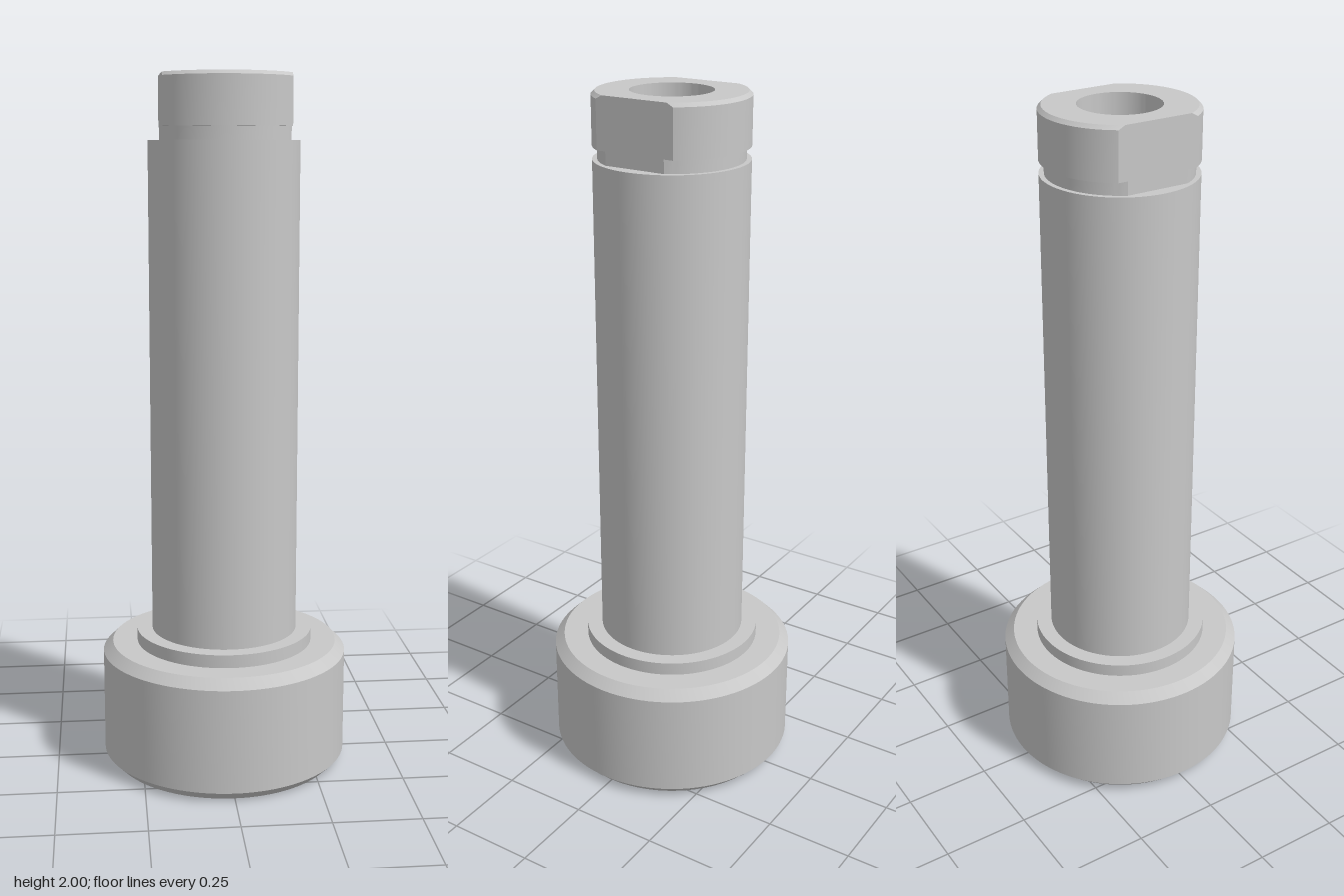
import * as THREE from 'three';
import { toCreasedNormals } from 'three/addons/utils/BufferGeometryUtils.js';

const BORE = 0.113, FLAT = 0.178, SOCKET_TOP = 0.25;
const steel = new THREE.MeshStandardMaterial({ color: 0xc8c8c8 });
steel.name = 'light steel grey';

function part(name, geometry, crease = 0.4) {
  const mesh = new THREE.Mesh(toCreasedNormals(geometry, crease), steel);
  mesh.name = name;
  return mesh;
}

// Turned surface from [radius, height] pairs
function lathe(name, profile) {
  return part(name, new THREE.LatheGeometry(profile.map(p => new THREE.Vector2(...p)), 96));
}

// Skin over closed rings of [x, y, z] points
function loft(rings) {
  const pos = [], n = rings[0].length;
  for (let i = 0; i < rings.length - 1; i++) {
    for (let j = 0; j < n; j++) {
      const k = (j + 1) % n;
      const a = rings[i][j], b = rings[i][k], c = rings[i + 1][j], d = rings[i + 1][k];
      pos.push(...a, ...c, ...b, ...b, ...c, ...d);
    }
  }
  const g = new THREE.BufferGeometry();
  g.setAttribute('position', new THREE.Float32BufferAttribute(pos, 3));
  return g;
}

// Circle cut by two flats at x = +-FLAT
function flattedRing(r, y) {
  const phi = Math.acos(FLAT / r), zc = r * Math.sin(phi), half = [];
  for (let i = 0; i < 40; i++) {
    const t = phi + (Math.PI - 2 * phi) * i / 40;
    half.push([r * Math.cos(t), y, r * Math.sin(t)]);
  }
  for (let i = 0; i < 12; i++) half.push([-FLAT, y, zc * (1 - i / 6)]);
  return [...half, ...half.map(([x, , z]) => [-x, y, -z])];
}

// Hexagonal socket outline with a blunt relief lobe at each corner
function socketOutline() {
  const pts = [];
  for (let k = 0; k < 6; k++) {
    const mid = Math.PI / 6 + k * Math.PI / 3;
    for (const [deg, r] of [[-17, 0.208], [-9, 0.236], [-4, 0.252], [4, 0.252], [9, 0.236], [17, 0.208]]) {
      const t = mid + THREE.MathUtils.degToRad(deg);
      pts.push(new THREE.Vector2(r * Math.cos(t), r * Math.sin(t)));
    }
  }
  return pts;
}

// Flat plate facing down at a given height
function downFace(name, shape, hole, y) {
  shape.holes.push(hole);
  const g = new THREE.ShapeGeometry(shape, 48);
  g.rotateX(Math.PI / 2).translate(0, y, 0);
  return part(name, g);
}

function circle(r) {
  return new THREE.Shape().absarc(0, 0, r, 0, Math.PI * 2, false);
}

export function createModel() {
  const group = new THREE.Group();
  const outline = socketOutline();

  // Chamfered head, collar and shaft
  group.add(lathe('head', [[0.332, 0], [0.36, 0.028], [0.36, 0.332], [0.332, 0.36], [0.25, 0.36]]));
  group.add(lathe('collar', [[0.259, 0.36], [0.259, 0.398], [0.2, 0.398]]));
  group.add(lathe('shaft', [[0.214, 0.398], [0.214, 1.82], [0.15, 1.82]]));

  // Neck groove and flatted tip, closed down to the bore
  const top = flattedRing(0.204, 2);
  const boreRing = top.map(([x, y, z]) => {
    const s = BORE / Math.hypot(x, z);
    return [x * s, y, z * s];
  });
  group.add(part('flattedTip', loft([
    flattedRing(0.2, 1.82), flattedRing(0.2, 1.857), flattedRing(0.214, 1.857),
    flattedRing(0.214, 1.99), top, boreRing,
  ])));

  // Through bore
  group.add(lathe('bore', [[BORE, 2], [BORE, SOCKET_TOP]]));

  // Drive socket in the underside
  group.add(downFace('headUnderside', circle(0.332), new THREE.Path(outline), 0));
  group.add(part('socketWall', loft([SOCKET_TOP, 0].map(y => outline.map(p => [p.x, y, p.y])))));
  group.add(downFace('socketFloor', new THREE.Shape(outline), circle(BORE), SOCKET_TOP));

  return group;
}
